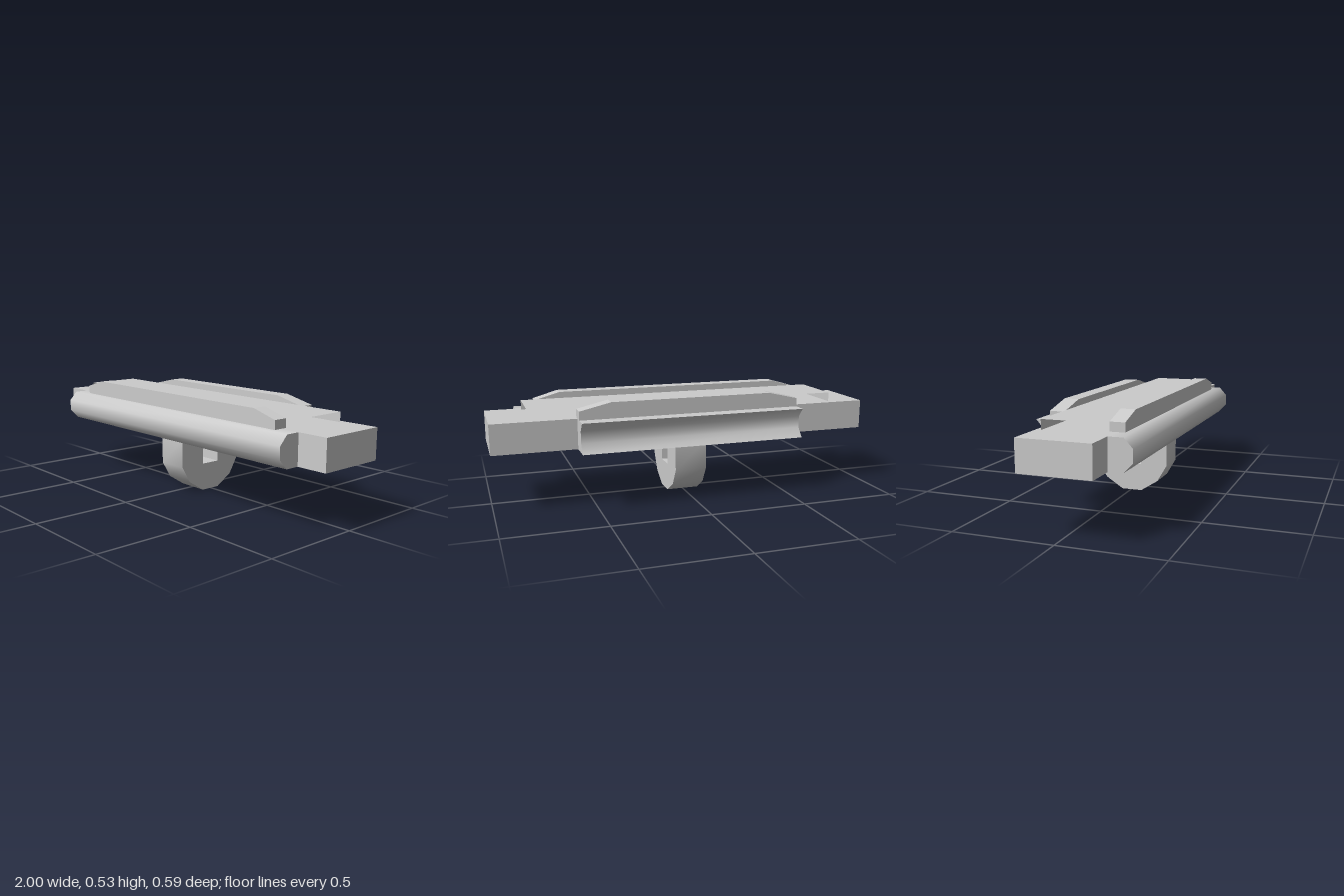
import * as THREE from 'three';
import { toCreasedNormals } from 'three/addons/utils/BufferGeometryUtils.js';

const material = new THREE.MeshStandardMaterial({ color: 0xcccccc });

function add(group, name, geometry, mat = material) {
  const mesh = new THREE.Mesh(geometry, mat);
  mesh.name = name;
  group.add(mesh);
  return mesh;
}

function extrude(points, depth) {
  const shape = new THREE.Shape(points.map(([a, b]) => new THREE.Vector2(a, b)));
  return new THREE.ExtrudeGeometry(shape, { depth, bevelEnabled: false });
}

// Runs a [z, y] profile along x, centred on x = 0; shallow corners are smooth
function alongX(profile, halfLength) {
  const g = extrude(profile.map(([z, y]) => [-z, y]), halfLength * 2);
  g.rotateY(Math.PI / 2).translate(-halfLength, 0, 0);
  return toCreasedNormals(g, 1.1);
}

// Raised rail with sloping ends, from z0 to z1
function topRail(half, slope, z0, z1) {
  const g = extrude([
    [-half, 0.446], [half, 0.446], [half, 0.49], [half - slope, 0.527],
    [slope - half, 0.527], [-half, 0.49],
  ], z1 - z0);
  return toCreasedNormals(g.translate(0, 0, z0), 0.1);
}

export function createModel() {
  const group = new THREE.Group();
  const low = 0.293, high = 0.446;

  // Main bar
  const bar = new THREE.BoxGeometry(2, high - low, 0.352);
  add(group, 'mainBar', bar.translate(0, (low + high) / 2, 0.004));

  // Rounded tongue on the front, matching groove on the back
  add(group, 'frontTongue', alongX([
    [0.18, low], [0.25, low], [0.295, 0.34], [0.295, 0.4], [0.253, high], [0.18, high],
  ], 0.845));
  add(group, 'backGroove', alongX([
    [-0.172, low], [-0.172, high], [-0.293, high], [-0.253, 0.4], [-0.253, 0.34], [-0.293, low],
  ], 0.58));

  // Raised rails on top
  add(group, 'frontTopRail', topRail(0.745, 0.13, 0.15, 0.222));
  add(group, 'backTopRail', topRail(0.58, 0.16, -0.22, -0.145));

  // Thin top plate over an inward-facing skirt
  const plateX = 0.815, plateZ = 0.147, plateY = 0.495, skirt = plateY - high;
  const plate = new THREE.PlaneGeometry(plateX * 2, plateZ * 2).rotateX(-Math.PI / 2);
  add(group, 'topPlate', plate.translate(0, plateY, 0.003));
  for (const s of [-1, 1]) {
    const side = add(group, 'plateSide', new THREE.PlaneGeometry(plateX * 2, skirt));
    side.position.set(0, plateY - skirt / 2, 0.003 + s * plateZ);
    side.rotation.y = s > 0 ? Math.PI : 0;
    const end = add(group, 'plateEnd', new THREE.PlaneGeometry(plateZ * 2, skirt));
    end.position.set(s * plateX, plateY - skirt / 2, 0.003);
    end.rotation.y = -s * Math.PI / 2;
  }

  // U-shaped loop underneath
  add(group, 'bottomLoop', alongX([
    [0.196, low], [0.196, 0.143], [0.147, 0.058], [0.057, 0], [-0.05, 0], [-0.14, 0.058],
    [-0.19, 0.143], [-0.19, low], [-0.052, low], [-0.048, 0.143], [0.055, 0.143], [0.058, low],
  ], 0.083));

  return group;
}
